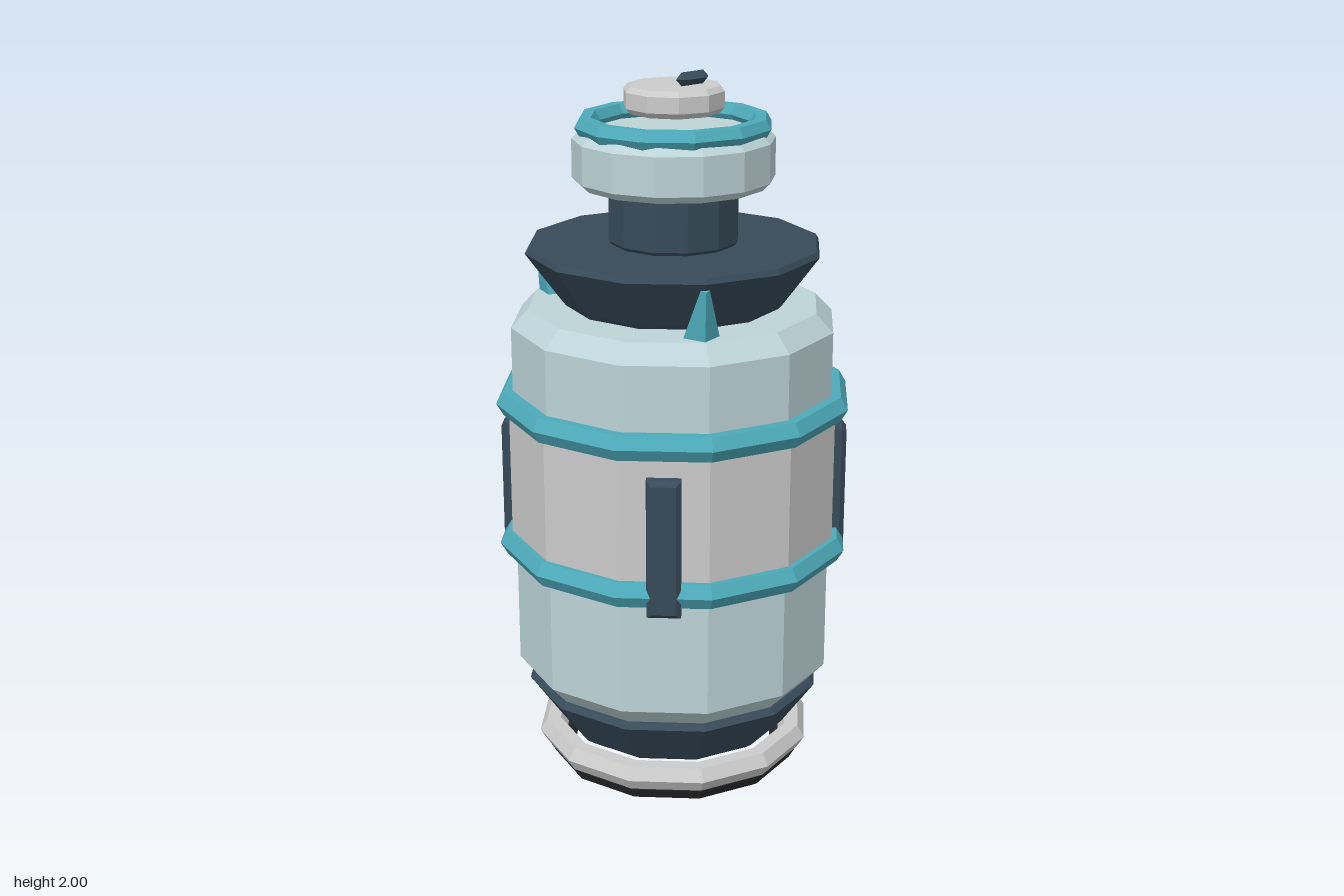
import * as THREE from 'three';

const mat = (color) => new THREE.MeshStandardMaterial({ color, flatShading: true });

export function createModel() {
  const model = new THREE.Group();
  const shell = mat(0xbdd4d8), pale = mat(0xd4d6d2), teal = mat(0x4dabbb);
  const dark = mat(0x374b5a), black = mat(0x2a2a2c);

  const add = (name, geometry, material, parent = model) => {
    const mesh = new THREE.Mesh(geometry, material);
    mesh.name = name;
    parent.add(mesh);
    return mesh;
  };

  // Closed faceted solid from [radius, height] pairs, bottom to top
  const turned = (name, profile, material, sides = 12) => {
    const pts = profile.map(([r, y]) => new THREE.Vector2(r, y));
    pts.unshift(new THREE.Vector2(0, profile[0][1]));
    pts.push(new THREE.Vector2(0, profile[profile.length - 1][1]));
    return add(name, new THREE.LatheGeometry(pts, sides), material);
  };

  // Hexagonal-section hoop lying flat
  const hoop = (name, radius, tube, y, material) => {
    const mesh = add(name, new THREE.TorusGeometry(radius, tube, 6, 12).rotateX(Math.PI / 2), material);
    mesh.position.y = y;
    return mesh;
  };

  // Base
  hoop('footRing', 0.335, 0.04, 0.035, black);
  hoop('baseRing', 0.36, 0.04, 0.075, pale);
  turned('lowerCone', [[0.31, 0.1], [0.33, 0.115], [0.425, 0.25], [0.412, 0.265]], dark);

  // Body
  turned('body', [[0.4, 0.26], [0.453, 0.32], [0.453, 1.31], [0.405, 1.36]], shell);
  turned('middleBand', [[0.465, 0.68], [0.465, 1.095]], pale);
  hoop('lowerHoop', 0.46, 0.04, 0.68, teal);
  hoop('upperHoop', 0.46, 0.04, 1.095, teal);

  // Upright chamfered slats on the four diagonals
  const b = 0.013, hw = 0.046 - b, hh = 0.195 - b, depth = 0.05;
  const rect = new THREE.Shape([[-hw, -hh], [hw, -hh], [hw, hh], [-hw, hh]].map(([x, y]) => new THREE.Vector2(x, y)));
  const slatGeometry = new THREE.ExtrudeGeometry(rect, {
    depth: depth - 2 * b, bevelEnabled: true, bevelThickness: b, bevelSize: b, bevelSegments: 1,
  });
  slatGeometry.translate(0, 0.815, 0.46 - depth / 2 + b);
  for (let i = 0; i < 4; i++) {
    add('slat', slatGeometry, dark).rotation.y = Math.PI / 4 + i * Math.PI / 2;
  }

  // Shoulder cone with three spikes leaning outward
  turned('shoulderCone', [[0.3, 1.365], [0.312, 1.38], [0.41, 1.515], [0.402, 1.53]], dark);
  const spikeGeometry = new THREE.CylinderGeometry(0.012, 0.05, 0.15, 4).translate(0, 0.075, 0);
  for (let i = 0; i < 3; i++) {
    const pivot = new THREE.Group();
    pivot.name = 'spikePivot';
    pivot.rotation.y = i * Math.PI * 2 / 3;
    const spike = add('spike', spikeGeometry, teal, pivot);
    spike.position.set(0.35, 1.353, 0);
    spike.rotation.z = -0.3;
    model.add(pivot);
  }

  // Neck and head
  turned('neck', [[0.168, 1.525], [0.18, 1.54], [0.18, 1.68], [0.168, 1.692]], dark);
  turned('head', [[0.255, 1.69], [0.275, 1.71], [0.275, 1.815], [0.255, 1.835]], shell, 14);
  hoop('headHoop', 0.24, 0.03, 1.85, teal);

  // Floating cap and grip
  turned('cap', [[0.125, 1.885], [0.138, 1.9], [0.138, 1.943], [0.125, 1.957]], pale, 10);
  const gripProfile = [[0, -0.057], [0.018, -0.038], [0.018, 0.038], [0, 0.057]].map(([r, y]) => new THREE.Vector2(r, y));
  const grip = add('grip', new THREE.LatheGeometry(gripProfile, 4).rotateZ(Math.PI / 2), dark);
  grip.position.set(0, 1.982, 0.073);

  return model;
}
